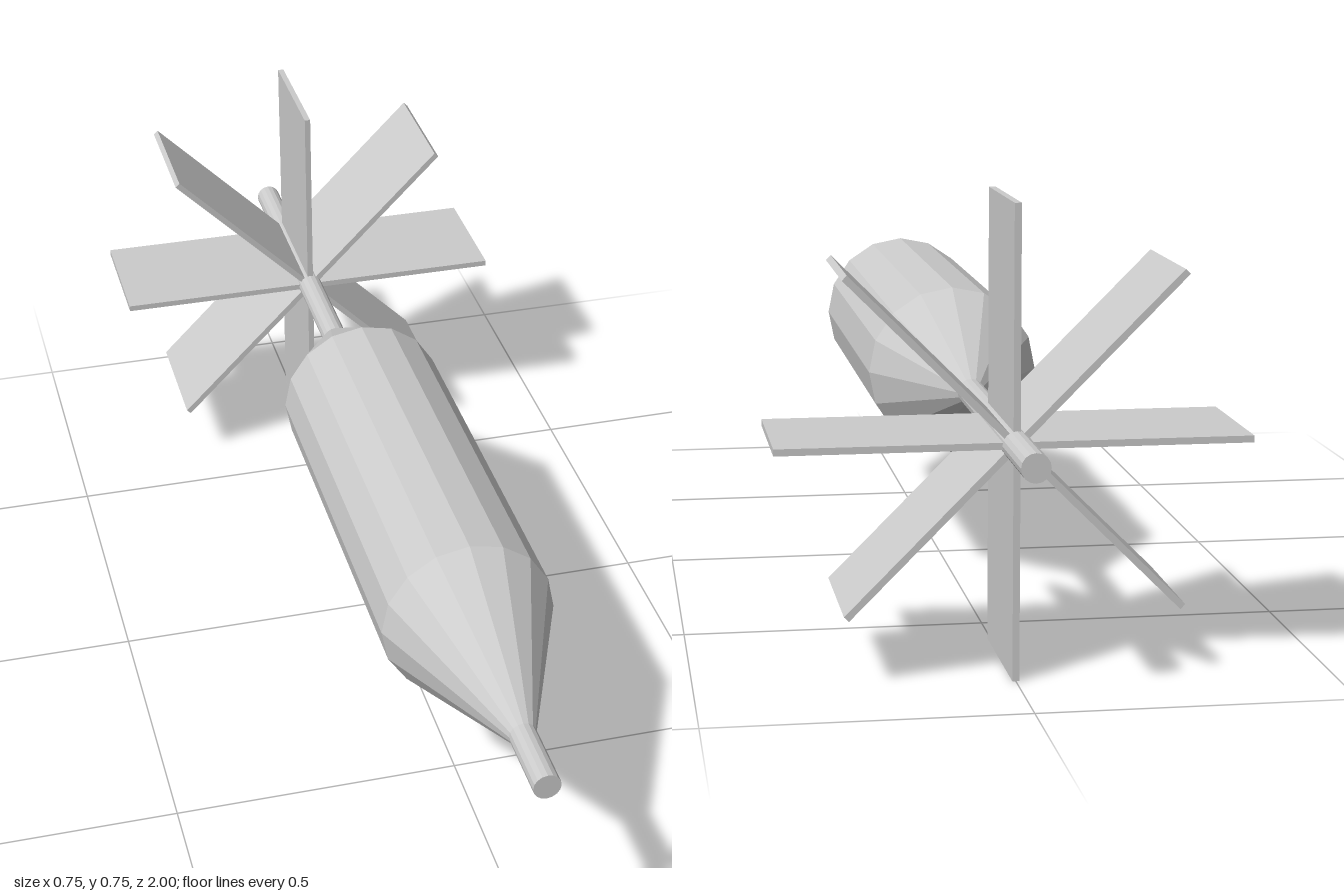
import * as THREE from 'three';

const SIDES = 16;
const AXIS_Y = 0.374;
const ROD_RADIUS = 0.023;

export function createModel() {
  const model = new THREE.Group();
  model.name = 'finnedBomb';
  const material = new THREE.MeshStandardMaterial({ color: 0xcccccc, flatShading: true });

  const add = (name, geometry, parent = model) => {
    const mesh = new THREE.Mesh(geometry, material);
    mesh.name = name;
    parent.add(mesh);
    return mesh;
  };

  // Faceted body with a long nose taper and a shorter tail taper, along z
  const profile = [[0, -0.38], [ROD_RADIUS, -0.38], [0.15, -0.163], [0.15, 0.563], [ROD_RADIUS, 0.872], [0, 0.872]]
    .map(([r, z]) => new THREE.Vector2(r, z));
  add('body', new THREE.LatheGeometry(profile, SIDES).rotateX(Math.PI / 2)).position.y = AXIS_Y;

  // Central rod running the full length
  const rod = new THREE.CylinderGeometry(ROD_RADIUS, ROD_RADIUS, 2, SIDES).rotateX(Math.PI / 2);
  add('rod', rod).position.y = AXIS_Y;

  // Eight flat tail fins around the rod
  const fins = new THREE.Group();
  fins.name = 'tailFins';
  fins.position.set(0, AXIS_Y, -0.7155);
  model.add(fins);
  const fin = new THREE.BoxGeometry(AXIS_Y, 0.011, 0.241).translate(AXIS_Y / 2, 0, 0);
  for (let i = 0; i < 8; i++) {
    add('tailFin', fin, fins).rotation.z = (i * Math.PI) / 4;
  }
  return model;
}
